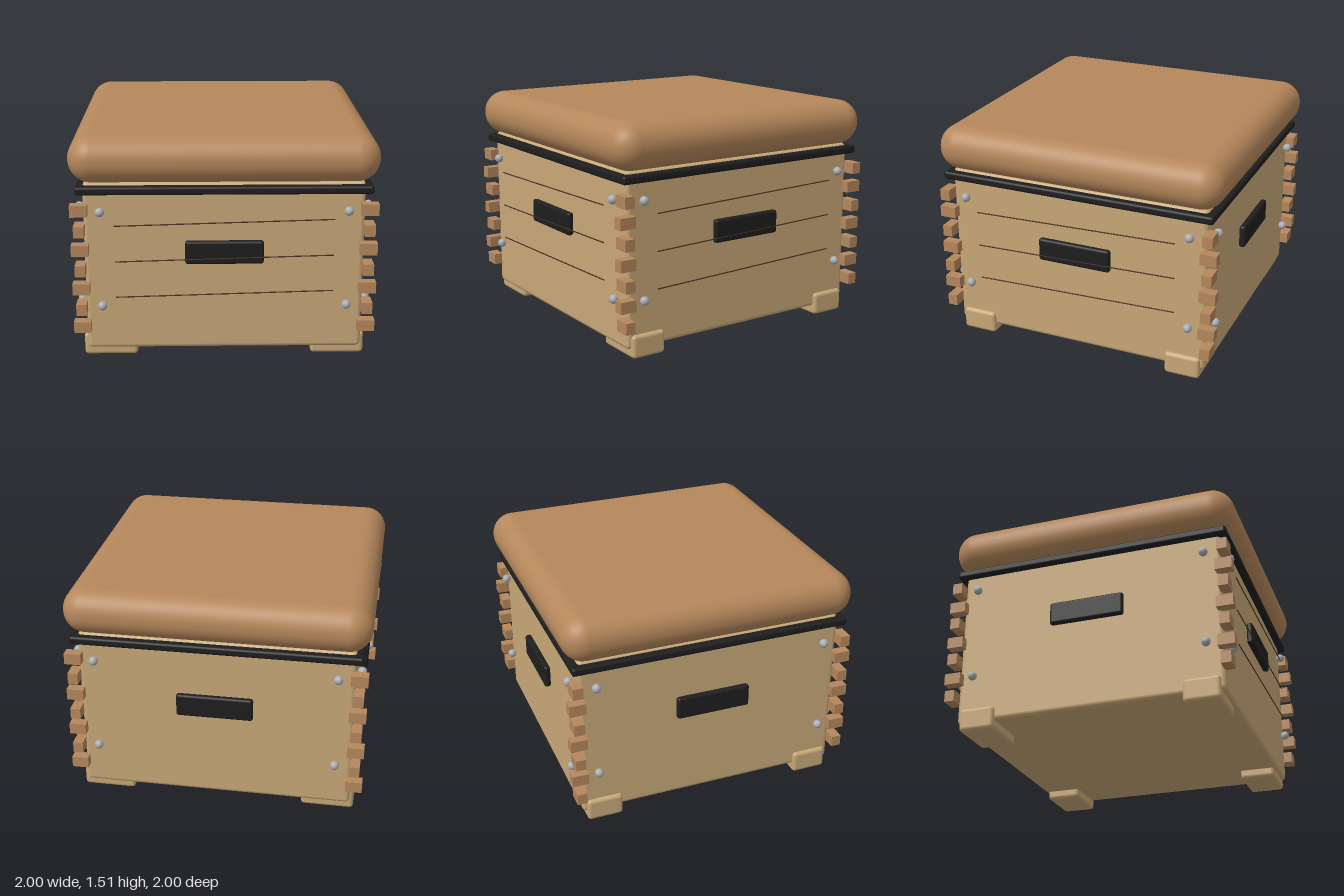
import * as THREE from 'three';
import { RoundedBoxGeometry } from 'three/addons/geometries/RoundedBoxGeometry.js';

const material = (name, color) => {
  const m = new THREE.MeshStandardMaterial({ color });
  m.name = name;
  return m;
};

export function createModel() {
  const wood = material('pale wood', 0xc8a878);
  const leather = material('tan leather', 0xb5875b);
  const joint = material('joint wood', 0xb5875d);
  const black = material('black', 0x1e1e1e);
  const steel = material('steel', 0xa9aeb3);
  const grain = material('dark grain', 0x4a3020);

  const root = new THREE.Group();
  root.name = 'storageStool';

  const add = (parent, name, geometry, mat, x, y, z) => {
    const mesh = new THREE.Mesh(geometry, mat);
    mesh.name = name;
    mesh.position.set(x, y, z);
    parent.add(mesh);
    return mesh;
  };

  // Crate, trim band and padded seat
  add(root, 'crateBody', new RoundedBoxGeometry(1.82, 1.15, 1.82, 4, 0.03), wood, 0, 0.635, 0);
  add(root, 'trimBand', new RoundedBoxGeometry(1.91, 0.055, 1.91, 4, 0.018), black, 0, 1.167, 0);
  add(root, 'seatCushion', new RoundedBoxGeometry(2, 0.307, 2, 10, 0.15), leather, 0, 1.3585, 0);

  // Corners: a foot and a stack of alternating finger joints
  const footGeo = new RoundedBoxGeometry(0.355, 0.155, 0.245, 3, 0.025);
  const fingerX = new THREE.BoxGeometry(0.112, 0.077, 0.068);
  const fingerZ = new THREE.BoxGeometry(0.068, 0.077, 0.112);
  for (const sx of [-1, 1]) {
    for (const sz of [-1, 1]) {
      add(root, 'foot', footGeo, wood, sx * 0.757, 0.0775, sz * 0.76);
      for (let i = 0; i < 7; i++) {
        add(root, 'fingerJoint', i % 2 ? fingerZ : fingerX, joint,
          sx * 0.934, 1.038 - i * 0.1337, sz * 0.934);
      }
    }
  }

  // Four sides: handle and bolts; grain lines on the front and +x sides
  const handleGeo = new RoundedBoxGeometry(0.51, 0.157, 0.045, 4, 0.018);
  const boltGeo = new THREE.SphereGeometry(0.03, 16, 12);
  const grainGeo = new THREE.CylinderGeometry(0.004, 0.004, 1.42, 6).rotateZ(Math.PI / 2);
  ['front', 'left', 'back', 'right'].forEach((name, k) => {
    const side = new THREE.Group();
    side.name = name + 'Side';
    side.rotation.y = k * Math.PI / 2;
    root.add(side);
    add(side, 'handle', handleGeo, black, 0, 0.748, 0.934);
    for (const x of [-0.8, 0.8]) {
      for (const y of [0.38, 1.025]) add(side, 'bolt', boltGeo, steel, x, y, 0.942);
    }
    if (k < 2) {
      for (const y of [0.465, 0.711, 0.955]) {
        add(side, 'grainLine', grainGeo, grain, 0, y, 0.955).rotation.z = 0.027;
      }
    }
  });

  return root;
}
